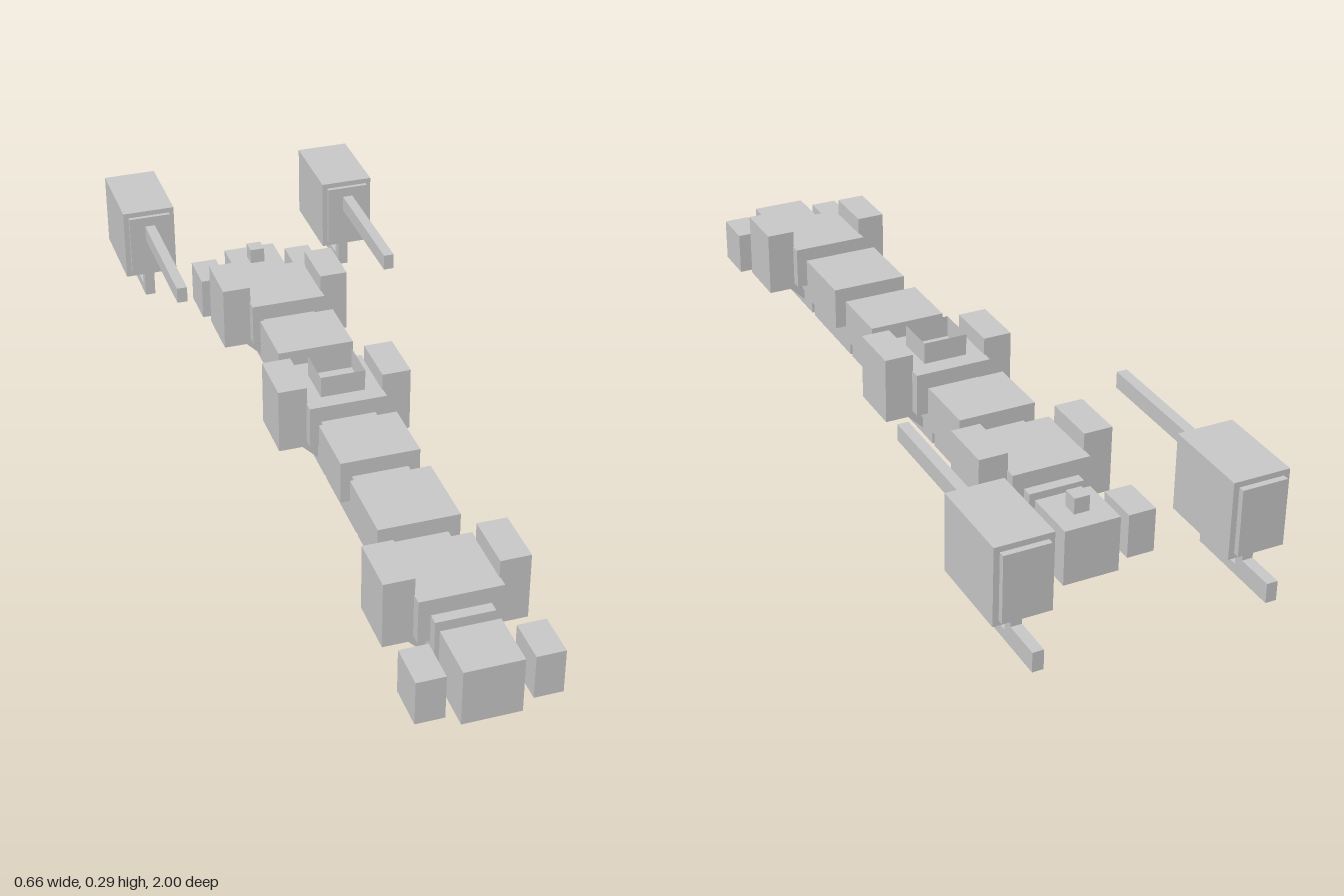
import * as THREE from 'three';

const mat = new THREE.MeshStandardMaterial({ color: 0xcccccc, flatShading: true });
const thinMat = new THREE.MeshStandardMaterial({ color: 0xcccccc, flatShading: true, side: THREE.DoubleSide });

// Box given by its lower and upper bounds on each axis
function box(name, parent, [x0, x1], [y0, y1], [z0, z1]) {
  const mesh = new THREE.Mesh(new THREE.BoxGeometry(x1 - x0, y1 - y0, z1 - z0), mat);
  mesh.position.set((x0 + x1) / 2, (y0 + y1) / 2, (z0 + z1) / 2);
  mesh.name = name;
  parent.add(mesh);
  return mesh;
}

// Extrusion of an outline, centred on its depth
function extrude(name, parent, points, depth) {
  const shape = new THREE.Shape(points.map(([x, y]) => new THREE.Vector2(x, y)));
  const geo = new THREE.ExtrudeGeometry(shape, { depth, bevelEnabled: false });
  geo.translate(0, 0, -depth / 2);
  const mesh = new THREE.Mesh(geo, mat);
  mesh.name = name;
  parent.add(mesh);
  return mesh;
}

// The same x range on the left (+1) or right (-1) side
const sideRange = (s, a, b) => (s > 0 ? [a, b] : [-b, -a]);

// End block with a small block on each side
function endBlock(name, z) {
  const g = new THREE.Group();
  g.name = name;
  box('endHull', g, [-0.065, 0.065], [0, 0.132], [z - 0.065, z + 0.065]);
  for (const s of [1, -1]) {
    box('endSideBlock', g, sideRange(s, 0.093, 0.157), [0.014, 0.119], [z - 0.051, z + 0.051]);
  }
  return g;
}

// Body segment: narrow lower hull with a wider upper hull
function segment(z, lower, upper, hasPods) {
  const g = new THREE.Group();
  g.name = 'bodySegment';
  box('lowerHull', g, [-0.065, 0.065], [0, 0.132], [z - lower / 2, z + lower / 2]);
  box('upperHull', g, [-0.092, 0.092], [0.067, 0.171], [z - upper / 2, z + upper / 2]);
  if (!hasPods) return g;
  for (const s of [1, -1]) {
    box('sidePod', g, sideRange(s, 0.09, 0.158), [0.053, 0.212], [z - 0.066, z + 0.066]);
    // Slanted struts carrying the pod
    for (const dz of [-0.045, 0.045]) {
      const pts = [[0.05, 0], [0.12, 0.07], [0.12, 0.097], [0.05, 0.026]].map(([x, y]) => [s * x, y]);
      extrude('podStrut', g, pts, 0.039).position.z = z + dz;
    }
  }
  return g;
}

// Open-topped turret ring made of four thin walls
function openTurret(z) {
  const g = new THREE.Group();
  g.name = 'openTurret';
  const w = 0.053, d = 0.05, h = 0.052;
  for (const s of [1, -1]) {
    const endWall = new THREE.Mesh(new THREE.PlaneGeometry(2 * w, h), thinMat);
    endWall.position.z = s * d;
    const sideWall = new THREE.Mesh(new THREE.PlaneGeometry(2 * d, h), thinMat);
    sideWall.position.x = s * w;
    endWall.rotation.y = s > 0 ? 0 : Math.PI;
    sideWall.rotation.y = s * Math.PI / 2;
    endWall.name = 'turretEndWall';
    sideWall.name = 'turretSideWall';
    g.add(endWall, sideWall);
  }
  g.position.set(0, 0.197, z);
  return g;
}

// Free-standing rear unit with a long barrel and a stepped foot
function outrigger(s) {
  const g = new THREE.Group();
  g.name = s > 0 ? 'leftOutrigger' : 'rightOutrigger';
  box('housing', g, [-0.065, 0.065], [0.108, 0.288], [-0.935, -0.724]);
  box('housingEndPanels', g, [-0.052, 0.052], [0.12, 0.275], [-0.949, -0.714]);
  box('barrel', g, [-0.0125, 0.0125], [0.211, 0.25], [-0.72, -0.387]);
  // Foot outline is drawn with length along x, then turned to face backward
  const foot = extrude('foot', g, [
    [0.753, 0.029], [1.0, 0.029], [1.0, 0.075], [0.909, 0.075], [0.909, 0.11],
    [0.885, 0.11], [0.885, 0.053], [0.777, 0.053], [0.777, 0.11], [0.753, 0.11],
  ], 0.025);
  foot.rotation.y = Math.PI / 2;
  g.position.x = s * 0.263;
  return g;
}

export function createModel() {
  const model = new THREE.Group();
  model.name = 'segmentedVehicle';

  model.add(endBlock('frontEnd', 0.935), endBlock('rearEnd', -0.673));
  box('rearPost', model, [-0.018, 0.018], [0.13, 0.17], [-0.69, -0.653]);

  // Centre z, lower length, upper length, side pods
  const segments = [
    [0.727, 0.233, 0.183, true],
    [0.478, 0.233, 0.184, false],
    [0.242, 0.214, 0.156, false],
    [0.004, 0.233, 0.184, true],
    [-0.23, 0.214, 0.156, false],
    [-0.467, 0.233, 0.184, true],
  ];
  for (const s of segments) model.add(segment(...s));

  model.add(openTurret(0.006), outrigger(1), outrigger(-1));
  return model;
}
